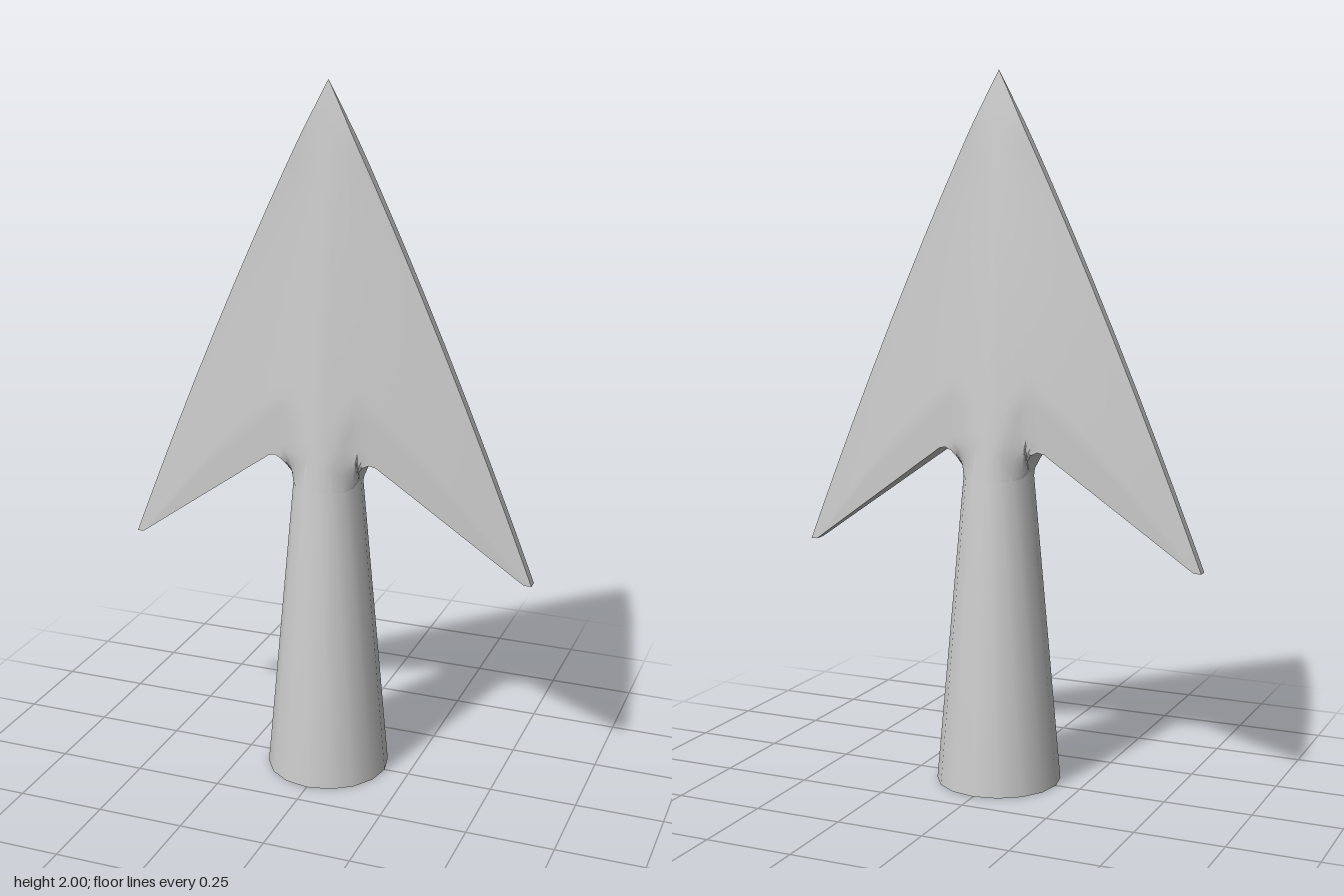
import * as THREE from 'three';
import { toCreasedNormals } from 'three/addons/utils/BufferGeometryUtils.js';

const { smoothstep, lerp } = THREE.MathUtils;

// Cone that sets both the socket radius and the depth of the blade's ridge
const coneRadius = (y) => 0.0885 * (2 - y);

// Curved cutting edge: height at x, and its inverse
const edgeHeight = (x) => 2 - 1.93 * x - 0.52 * x * x;
const edgeWidth = (y) => (-1.93 + Math.sqrt(1.93 ** 2 + 4 * 0.52 * Math.max(0, 2 - y))) / 1.04;

// Columns across one half of the blade: [x, height of lower edge]
const columns = [
  [0, 0.88], [0.025, 0.88], [0.05, 0.88], [0.075, 0.88], [0.09, 0.885], [0.1, 0.905],
  [0.108, 0.935], [0.12, 0.953], [0.14, 0.962], [0.16, 0.957], [0.18, 0.942], [0.22, 0.914],
  [0.27, 0.878], [0.33, 0.835], [0.4, 0.785], [0.46, 0.742], [0.52, 0.699], [0.56, 0.67],
  [0.58, 0.656], [0.6, edgeHeight(0.6)],
];

// Half thickness: ridge thinning to a narrow edge, merging with the socket at the foot
function halfDepth(x, y) {
  const c = coneRadius(y);
  const edge = Math.min(0.014, c);
  const across = Math.min(1, x / Math.max(edgeWidth(y), 1e-5));
  const limit = 0.016 + (0.6 - x) * 0.088 + 0.035 * Math.exp(-((x / 0.06) ** 2));
  const blade = Math.min(lerp(c, edge, across), limit);
  const round = Math.sqrt(Math.max(0, c * c - x * x));
  return lerp(round, blade, Math.max(smoothstep(y, 0.86, 0.97), smoothstep(x, 0.09, 0.115)));
}

// Closed vertical rings, one per column, joined across x
function bladeGeometry() {
  const rows = 26;
  const all = [...columns.slice(1).reverse().map(([x, y]) => [-x, y]), ...columns];
  const ring = 2 * (rows + 1);
  const positions = [];
  const indices = [];
  for (const [x, low] of all) {
    const ax = Math.abs(x);
    const high = edgeHeight(ax);
    for (let k = 0; k < ring; k++) {
      const front = k <= rows;
      const v = (front ? k : ring - 1 - k) / rows;
      const y = lerp(low, high, v ** 1.4);
      positions.push(x, y, halfDepth(ax, y) * (front ? 1 : -1));
    }
  }
  for (let i = 0; i < all.length - 1; i++) {
    for (let k = 0; k < ring; k++) {
      const a = i * ring + k;
      const d = i * ring + ((k + 1) % ring);
      indices.push(a, a + ring, d + ring, a, d + ring, d);
    }
  }
  const geometry = new THREE.BufferGeometry();
  geometry.setAttribute('position', new THREE.Float32BufferAttribute(positions, 3));
  geometry.setIndex(indices);
  return toCreasedNormals(geometry, 0.6);
}

export function createModel() {
  const group = new THREE.Group();
  group.name = 'arrowhead';
  const material = new THREE.MeshStandardMaterial({ color: 0xcccccc });

  // Tapered socket, its top buried in the blade
  const profile = [[0, 0], [coneRadius(0), 0], [coneRadius(0.95), 0.95], [0.045, 1.3], [0, 1.32]]
    .map(([r, y]) => new THREE.Vector2(r, y));
  const socket = new THREE.Mesh(toCreasedNormals(new THREE.LatheGeometry(profile, 16), 0.6), material);
  socket.name = 'socket';

  // Barbed blade
  const blade = new THREE.Mesh(bladeGeometry(), material);
  blade.name = 'blade';

  group.add(socket, blade);
  return group;
}
